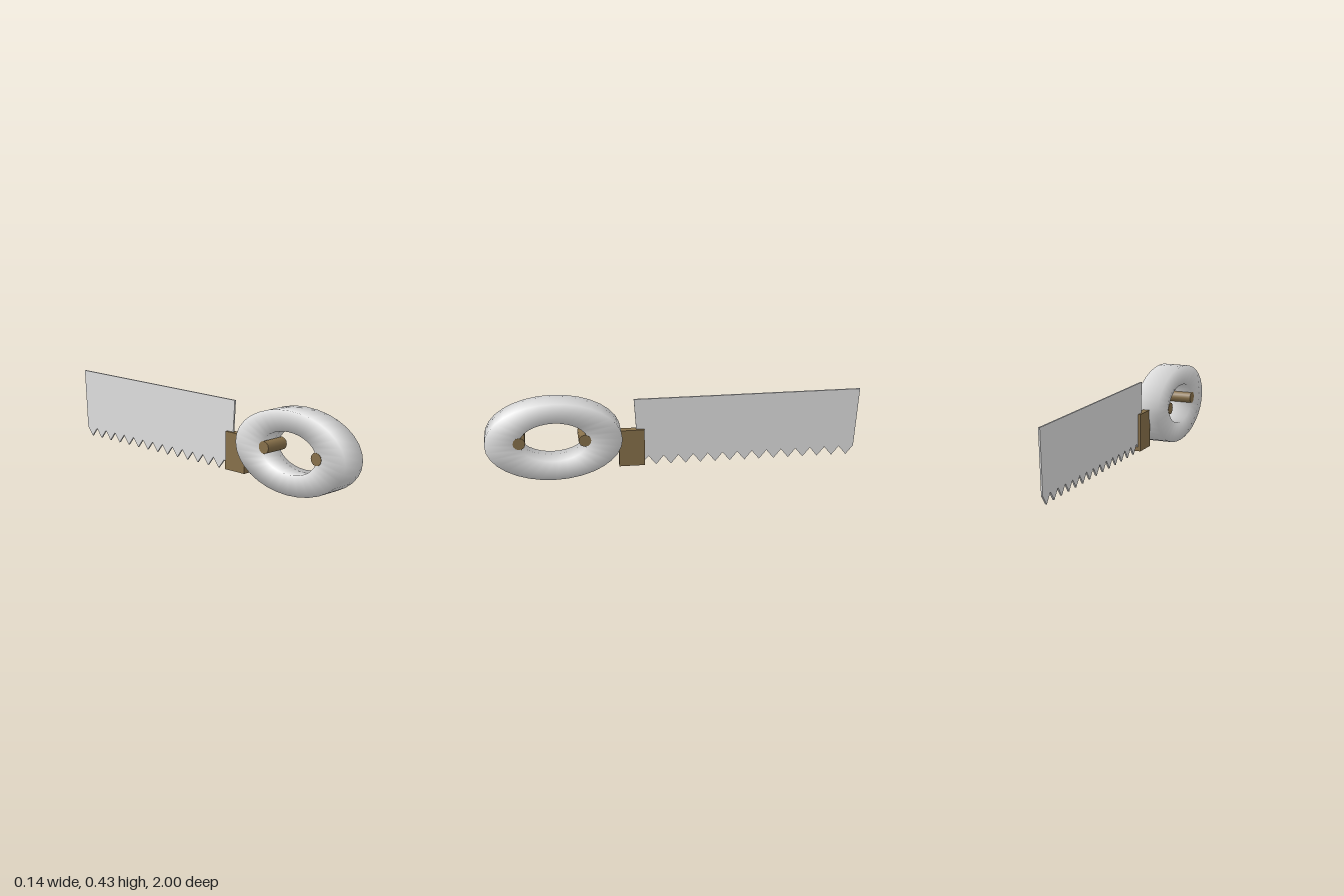
import * as THREE from 'three';
import { mergeVertices } from 'three/addons/utils/BufferGeometryUtils.js';

const steel = new THREE.MeshStandardMaterial({ color: 0xdedede });
steel.name = 'pale steel';
const wood = new THREE.MeshStandardMaterial({ color: 0x87704a });
wood.name = 'brown';

// Oval ring with a square cross-section and softened normals
function ringGeometry() {
  const sides = 4, segments = 32, halfWidth = 0.067;
  const geo = new THREE.TorusGeometry(1, 0.2, sides, segments);
  const pos = geo.attributes.position;
  for (let j = 0; j <= sides; j++) {
    const v = ((j % sides) + 0.5) * Math.PI / 2;
    const outer = Math.cos(v) > 0;
    for (let i = 0; i <= segments; i++) {
      const u = (i % segments) / segments * Math.PI * 2;
      pos.setXYZ(j * (segments + 1) + i,
        Math.cos(u) * (outer ? 0.36 : 0.18),
        Math.sin(u) * (outer ? 0.215 : 0.108),
        Math.sign(Math.sin(v)) * halfWidth);
    }
  }
  geo.deleteAttribute('uv');
  geo.deleteAttribute('normal');
  const merged = mergeVertices(geo);
  merged.computeVertexNormals();
  return merged.rotateY(Math.PI / 2);
}

// Flat blade with a row of triangular teeth, drawn in the z-y plane
function bladeGeometry() {
  const teeth = 14, start = -0.98, end = 0.137, thickness = 0.009;
  const pitch = (end - start) / teeth;
  const shape = new THREE.Shape();
  shape.moveTo(0.213, 0.41);
  shape.lineTo(-1, 0.41);
  shape.lineTo(start, 0.08);
  for (let i = 0; i < teeth; i++) {
    shape.lineTo(start + (i + 0.5) * pitch, 0.03);
    shape.lineTo(start + (i + 1) * pitch, 0.08);
  }
  shape.lineTo(0.177, 0.04);
  shape.lineTo(0.192, 0.08);
  const geo = new THREE.ExtrudeGeometry(shape, { depth: thickness, bevelEnabled: false });
  return geo.translate(0, 0, -thickness / 2).rotateY(-Math.PI / 2);
}

export function createModel() {
  const group = new THREE.Group();
  group.name = 'handSaw';
  const add = (name, geo, mat, x, y, z) => {
    const mesh = new THREE.Mesh(geo, mat);
    mesh.name = name;
    mesh.position.set(x, y, z);
    group.add(mesh);
    return mesh;
  };

  add('handleRing', ringGeometry(), steel, 0, 0.215, 0.64);
  add('blade', bladeGeometry(), steel, 0, 0, 0);

  // Block joining the blade to the handle
  add('bladeMount', new THREE.BoxGeometry(0.036, 0.205, 0.136), wood, 0, 0.138, 0.227);

  // Pins through the handle
  const pin = new THREE.CylinderGeometry(0.033, 0.033, 0.138, 12).rotateZ(Math.PI / 2);
  const pinZ = { frontPin: 0.82, rearPin: 0.477 };
  for (const name in pinZ) add(name, pin, wood, 0, 0.217, pinZ[name]);

  return group;
}
